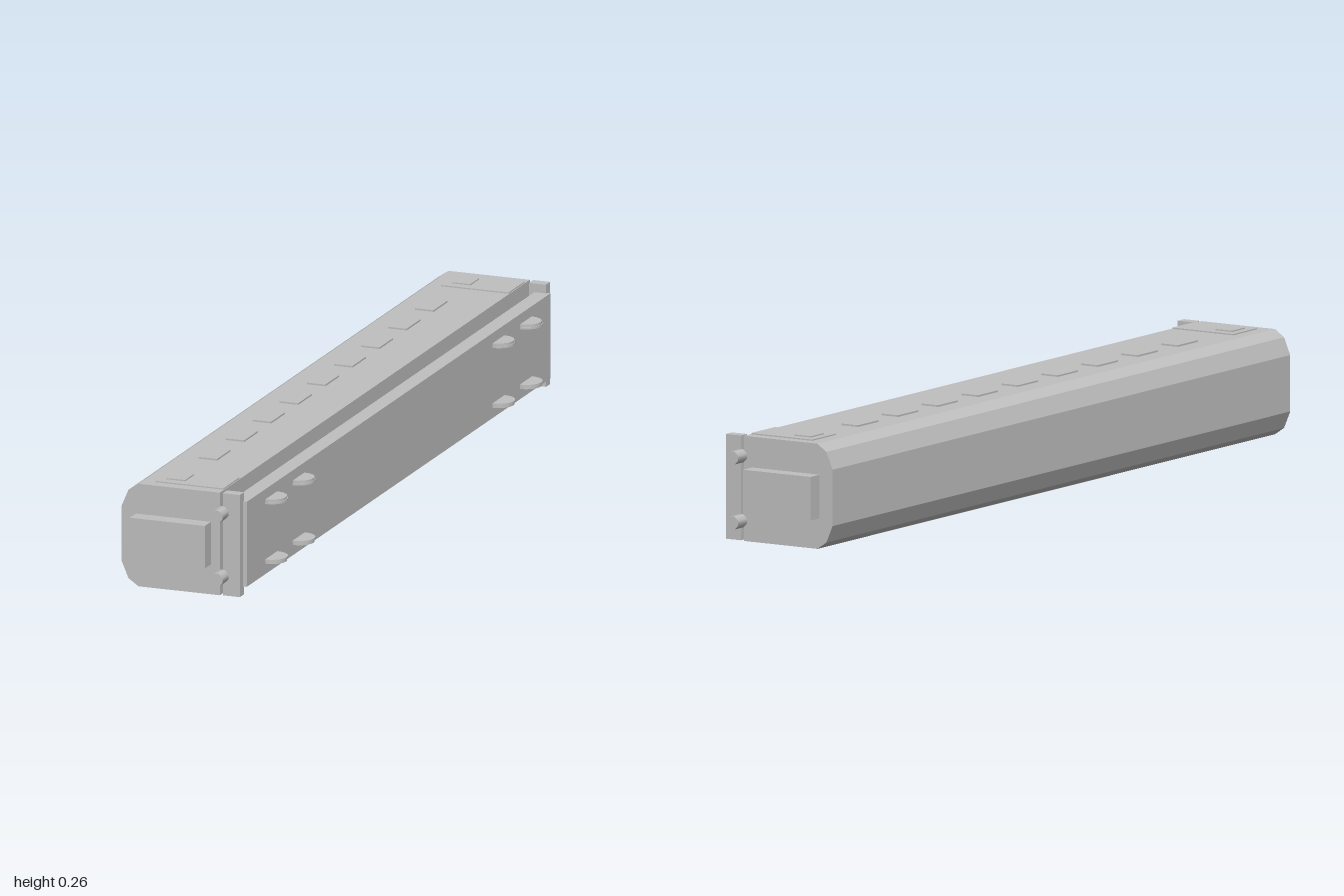
import * as THREE from 'three';

export function createModel() {
  const model = new THREE.Group();
  const grey = new THREE.MeshStandardMaterial({ color: 0xc0c0c0 });
  grey.name = 'plain grey';
  const midY = 0.129;

  function add(name, geometry, x, y, z) {
    const mesh = new THREE.Mesh(geometry, grey);
    mesh.name = name;
    mesh.position.set(x, y, z);
    model.add(mesh);
    return mesh;
  }
  // Box given by its extents along each axis
  function box(name, x0, x1, y0, y1, z0, z1) {
    return add(name, new THREE.BoxGeometry(x1 - x0, y1 - y0, z1 - z0),
      (x0 + x1) / 2, (y0 + y1) / 2, (z0 + z1) / 2);
  }

  // Carriage body lying on its side, roof towards -x
  const half = [[0.072, 0.123], [-0.13, 0.123], [-0.155, 0.106], [-0.172, 0.066]];
  const outline = [...half, ...half.map(([x, y]) => [x, -y]).reverse()];
  const shape = new THREE.Shape(outline.map(([x, y]) => new THREE.Vector2(x, y)));
  const bodyGeometry = new THREE.ExtrudeGeometry(shape, { depth: 1.924, bevelEnabled: false });
  add('body', bodyGeometry, 0, midY, -0.962);

  // Chassis under the floor
  box('chassis', 0.093, 0.131, 0.027, 0.231, -0.942, 0.942);

  for (const end of [-1, 1]) {
    // Gangway and headstock at each end
    box('gangway', -0.136, 0.05, 0.078, 0.18, end < 0 ? -1 : 0.96, end < 0 ? -0.96 : 1);
    box('headstock', 0.08, 0.122, 0.007, 0.252, end < 0 ? -0.963 : 0.937, end < 0 ? -0.937 : 0.963);

    for (const side of [-1, 1]) {
      // Buffers
      const buffer = add('buffer', new THREE.CylinderGeometry(0.016, 0.016, 0.04, 8).toNonIndexed(),
        0.079, midY + side * 0.076, end * 0.98);
      buffer.rotation.set(Math.PI / 2, Math.PI / 8, 0);

      // Wheels, half sunk in the chassis
      for (const z of [0.62, 0.79]) {
        const inner = new THREE.CylinderGeometry(0.038, 0.038, 0.005, 20);
        const outer = new THREE.CylinderGeometry(0.036, 0.036, 0.011, 20);
        add('wheelFlange', inner, 0.132, midY + side * 0.069, end * z);
        add('wheelTread', outer, 0.132, midY + side * 0.072, end * z);
      }
    }
  }

  // Thin plate on one of the two carriage sides
  function plate(name, x0, x1, z, length, height, side) {
    add(name, new THREE.BoxGeometry(x1 - x0, height, length),
      (x0 + x1) / 2, midY + side * (0.123 + height / 2), z);
  }
  for (const side of [-1, 1]) {
    for (let i = -4; i <= 4; i++) plate('window', -0.08, -0.034, i * 0.168, 0.085, 0.004, side);
    for (const end of [-1, 1]) {
      plate('door', -0.098, 0.07, end * 0.885, 0.1, 0.003, side);
      plate('doorWindow', -0.08, -0.034, end * 0.885, 0.055, 0.006, side);
    }
  }
  return model;
}
